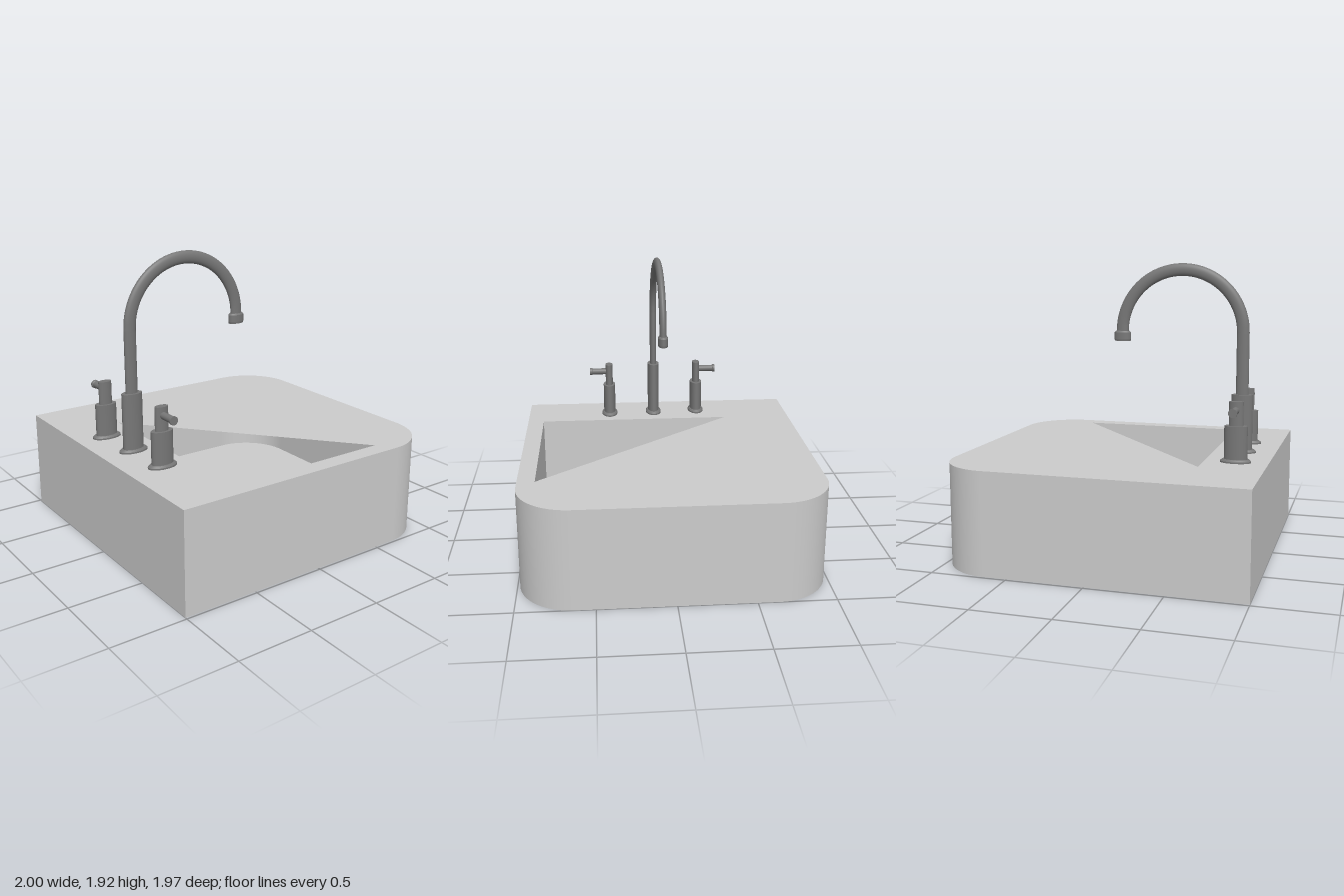
import * as THREE from 'three';

const stone = new THREE.MeshStandardMaterial({ color: 0xcccccc, side: THREE.DoubleSide });
const metal = new THREE.MeshStandardMaterial({ color: 0x777777 });
const FLAT = 0.58; // fittings are oval: narrower along z

function add(parent, name, geometry, material, x = 0, y = 0, z = 0) {
  const mesh = new THREE.Mesh(geometry, material);
  mesh.name = name;
  mesh.position.set(x, y, z);
  parent.add(mesh);
  return mesh;
}

// Plan outline (shape y = -z), square on the -x side, rounded on the +x side
function plan(Type, x0, x1, halfZ, r) {
  const p = new Type();
  p.moveTo(x0, -halfZ);
  p.lineTo(x1 - r, -halfZ);
  p.absarc(x1 - r, -halfZ + r, r, -Math.PI / 2, 0);
  p.lineTo(x1, halfZ - r);
  p.absarc(x1 - r, halfZ - r, r, 0, Math.PI / 2);
  p.lineTo(x0, halfZ);
  p.closePath();
  return p;
}

function slab(shape, y0, y1) {
  const g = new THREE.ExtrudeGeometry(shape, { depth: y1 - y0, bevelEnabled: false, curveSegments: 32 });
  return g.rotateX(-Math.PI / 2).translate(0, y0, 0);
}

// Cut-off oval of the drain
function drainPath() {
  const p = new THREE.Path();
  p.absellipse(-0.38, 0.005, 0.165, 0.1, Math.PI * 0.16, Math.PI * 1.5, false);
  p.closePath();
  return p;
}

// Solid of revolution with sharp edges: one cylinder per step [rBottom, rTop, y0, y1]
function turned(parent, name, steps) {
  const g = new THREE.Group();
  g.name = name;
  parent.add(g);
  for (const [rb, rt, y0, y1] of steps)
    add(g, name + 'Step', new THREE.CylinderGeometry(rt, rb, y1 - y0, 40), metal, 0, (y0 + y1) / 2, 0);
  return g;
}

const flange = [[0.1, 0.1, 0, 0.01], [0.1, 0.085, 0.01, 0.022]];

function buildBasin() {
  const g = new THREE.Group();
  g.name = 'basin';
  const inner = [-0.59, 0.9, 0.87, 0.34];

  // Outer walls
  const walls = plan(THREE.Shape, -1, 1, 0.985, 0.35);
  walls.holes.push(plan(THREE.Path, ...inner));
  add(g, 'outerWalls', slab(walls, 0, 0.67), stone);

  // Floor with a shallow drain recess above and below
  const layer = (y0, y1, drain) => {
    const s = plan(THREE.Shape, ...inner);
    if (drain) s.holes.push(drainPath());
    add(g, 'basinFloor', slab(s, y0, y1), stone);
  };
  layer(0, 0.01, true);
  layer(0.01, 0.12, false);
  layer(0.12, 0.13, true);

  // Top deck over the bowl, leaving the triangular opening
  const deck = new THREE.Shape();
  deck.moveTo(-0.59, 0.5);
  deck.lineTo(0.56, -0.87);
  deck.absarc(0.56, -0.53, 0.34, -Math.PI / 2, 0);
  deck.lineTo(0.9, 0.53);
  deck.absarc(0.56, 0.53, 0.34, 0, Math.PI / 2);
  deck.lineTo(-0.59, 0.87);
  deck.closePath();
  add(g, 'topDeck', new THREE.ShapeGeometry(deck, 32).rotateX(-Math.PI / 2), stone, 0, 0.67, 0);
  return g;
}

function buildSpout() {
  const g = turned(new THREE.Group(), 'spout', [...flange, [0.072, 0.072, 0.02, 0.39]]);
  // Gooseneck
  const R = 0.412, top = 0.8;
  const path = new THREE.CurvePath();
  path.add(new THREE.LineCurve3(new THREE.Vector3(0, 0.35, 0), new THREE.Vector3(0, top, 0)));
  const arc = [];
  for (let i = 0; i <= 24; i++) {
    const a = Math.PI * (1 - i / 24);
    arc.push(new THREE.Vector3(R + R * Math.cos(a), top + R * Math.sin(a), 0));
  }
  path.add(new THREE.CatmullRomCurve3(arc));
  add(g, 'gooseneck', new THREE.TubeGeometry(path, 120, 0.042, 24), metal);
  // Nozzle collar
  const nozzle = turned(g, 'nozzle', [[0.055, 0.058, -0.068, -0.055], [0.058, 0.058, -0.055, -0.01], [0.058, 0.048, -0.01, 0]]);
  nozzle.position.set(2 * R, top, 0);
  g.position.set(-0.773, 0.67, 0.033);
  g.scale.z = FLAT;
  g.rotation.y = 0.018;
  return g;
}

function buildHandle(name, x, z, side) {
  const g = turned(new THREE.Group(), name, [...flange, [0.075, 0.075, 0.02, 0.235], [0.046, 0.046, 0.235, 0.39]]);
  // Lever pointing outwards
  const lever = turned(g, 'lever', [[0.023, 0.023, 0, 0.22], [0.023, 0.028, 0.215, 0.225], [0.028, 0.028, 0.225, 0.25]]);
  lever.position.y = 0.335;
  lever.rotation.x = side * Math.PI / 2;
  g.position.set(x, 0.67, z);
  g.scale.z = FLAT;
  return g;
}

export function createModel() {
  const model = new THREE.Group();
  model.name = 'washbasin';
  model.add(
    buildBasin(),
    buildSpout(),
    buildHandle('backHandle', -0.79, -0.297, -1),
    buildHandle('frontHandle', -0.76, 0.37, 1),
  );
  return model;
}
